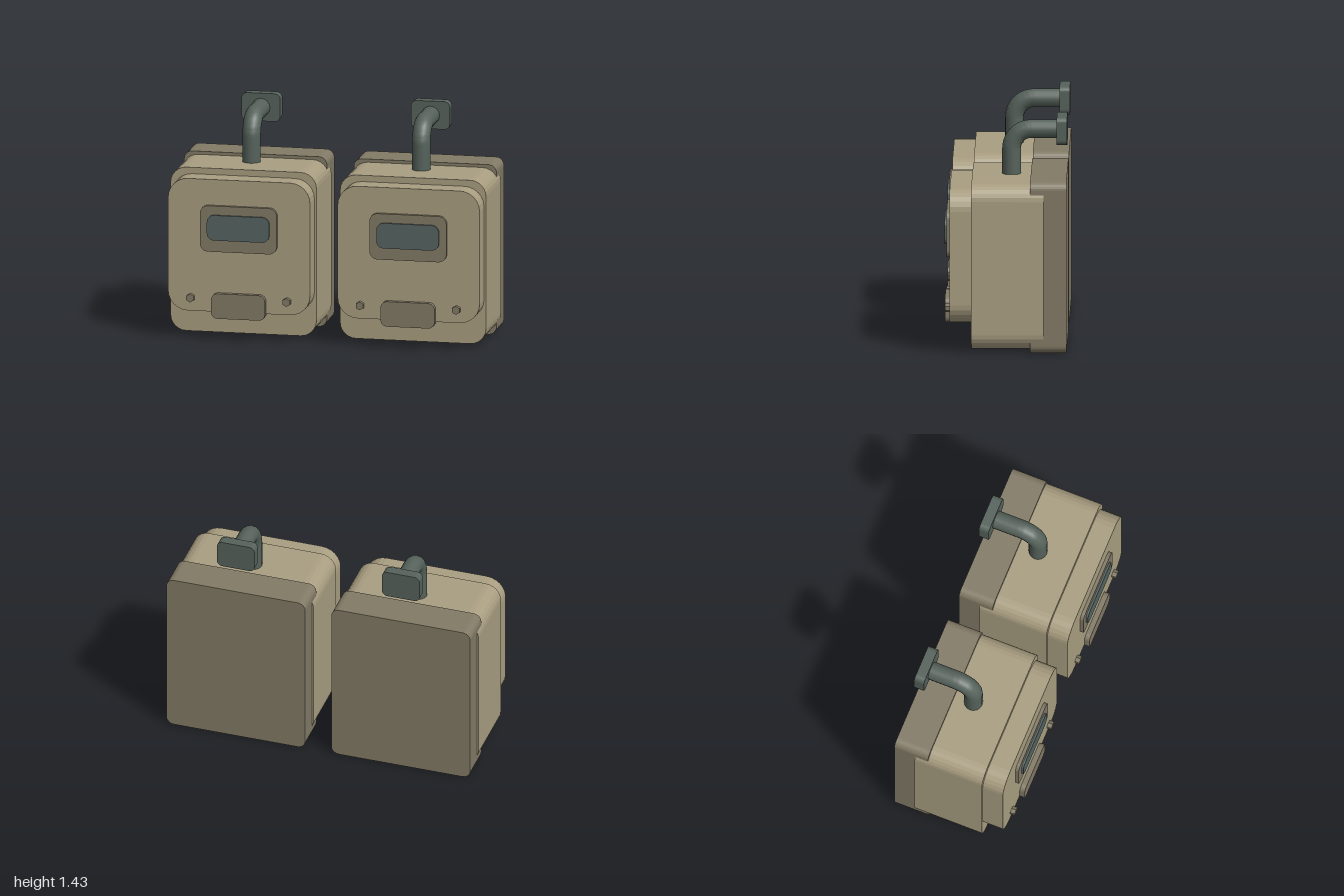
import * as THREE from 'three';

const mat = (name, color) => Object.assign(new THREE.MeshStandardMaterial({ color }), { name });

// Rounded rectangle outline centred on the origin
function roundedRect(w, h, r) {
  const x = w / 2, y = h / 2, s = new THREE.Shape();
  s.absarc(x - r, y - r, r, 0, Math.PI / 2);
  s.absarc(-x + r, y - r, r, Math.PI / 2, Math.PI);
  s.absarc(-x + r, -y + r, r, Math.PI, Math.PI * 1.5);
  s.absarc(x - r, -y + r, r, Math.PI * 1.5, Math.PI * 2);
  s.closePath();
  return s;
}

// Slab with rounded corners between heights y0..y1 and depths z0..z1
function slab(name, material, width, y0, y1, z0, z1, r) {
  const g = new THREE.ExtrudeGeometry(roundedRect(width, y1 - y0, r), {
    depth: z1 - z0, bevelEnabled: false, curveSegments: 3,
  });
  g.translate(0, (y0 + y1) / 2, z0);
  const m = new THREE.Mesh(g, material);
  m.name = name;
  return m;
}

export function createModel() {
  const tan = mat('tan casing', 0xa99e81);
  const brown = mat('dark tan trim', 0x827a66);
  const steel = mat('grey green conduit', 0x56625b);
  const glass = mat('window glass', 0x566462);

  function meterBox(name) {
    const box = new THREE.Group();
    box.name = name;

    // Stacked casing, back to front
    box.add(
      slab('backPlate', brown, 0.905, 0, 1.08, -0.38, -0.155, 0.05),
      slab('body', tan, 0.925, 0.02, 1.06, -0.24, 0.21, 0.1),
      slab('frontCover', tan, 0.9, 0.18, 1.02, 0.21, 0.345, 0.125),
      slab('windowFrame', brown, 0.487, 0.565, 0.857, 0.34, 0.367, 0.05),
      slab('window', glass, 0.395, 0.64, 0.8, 0.36, 0.38, 0.045),
      slab('latch', brown, 0.342, 0.143, 0.302, 0.305, 0.378, 0.04),
      slab('wallFlange', steel, 0.245, 1.253, 1.43, -0.38, -0.315, 0.035),
    );

    // Hexagonal cover bolts
    for (const side of [-1, 1]) {
      const g = new THREE.CylinderGeometry(0.027, 0.027, 0.04, 6).toNonIndexed();
      g.rotateX(Math.PI / 2);
      g.computeVertexNormals();
      const bolt = new THREE.Mesh(g, brown);
      bolt.name = side < 0 ? 'rightBolt' : 'leftBolt';
      bolt.position.set(side * 0.305, 0.265, 0.355);
      box.add(bolt);
    }

    // Conduit: straight up, quarter bend, straight back into the flange
    const pz = -0.033, py = 1.34, bend = 0.12;
    const path = new THREE.CurvePath();
    const p = (y, z) => new THREE.Vector3(0, y, z);
    const arc = [];
    for (let i = 0; i <= 8; i++) {
      const a = (i / 8) * Math.PI / 2;
      arc.push(p(py - bend + bend * Math.sin(a), pz - bend + bend * Math.cos(a)));
    }
    const points = [p(1.04, pz), ...arc, p(py, -0.33)];
    for (let i = 1; i < points.length; i++) path.add(new THREE.LineCurve3(points[i - 1], points[i]));
    const pipe = new THREE.Mesh(new THREE.TubeGeometry(path, 40, 0.058, 16), steel);
    pipe.name = 'conduit';
    box.add(pipe);
    return box;
  }

  const model = new THREE.Group();
  model.name = 'twinMeterBoxes';
  for (const side of [-1, 1]) {
    const box = meterBox(side < 0 ? 'rightMeterBox' : 'leftMeterBox');
    box.position.x = side * 0.5375;
    model.add(box);
  }
  return model;
}
